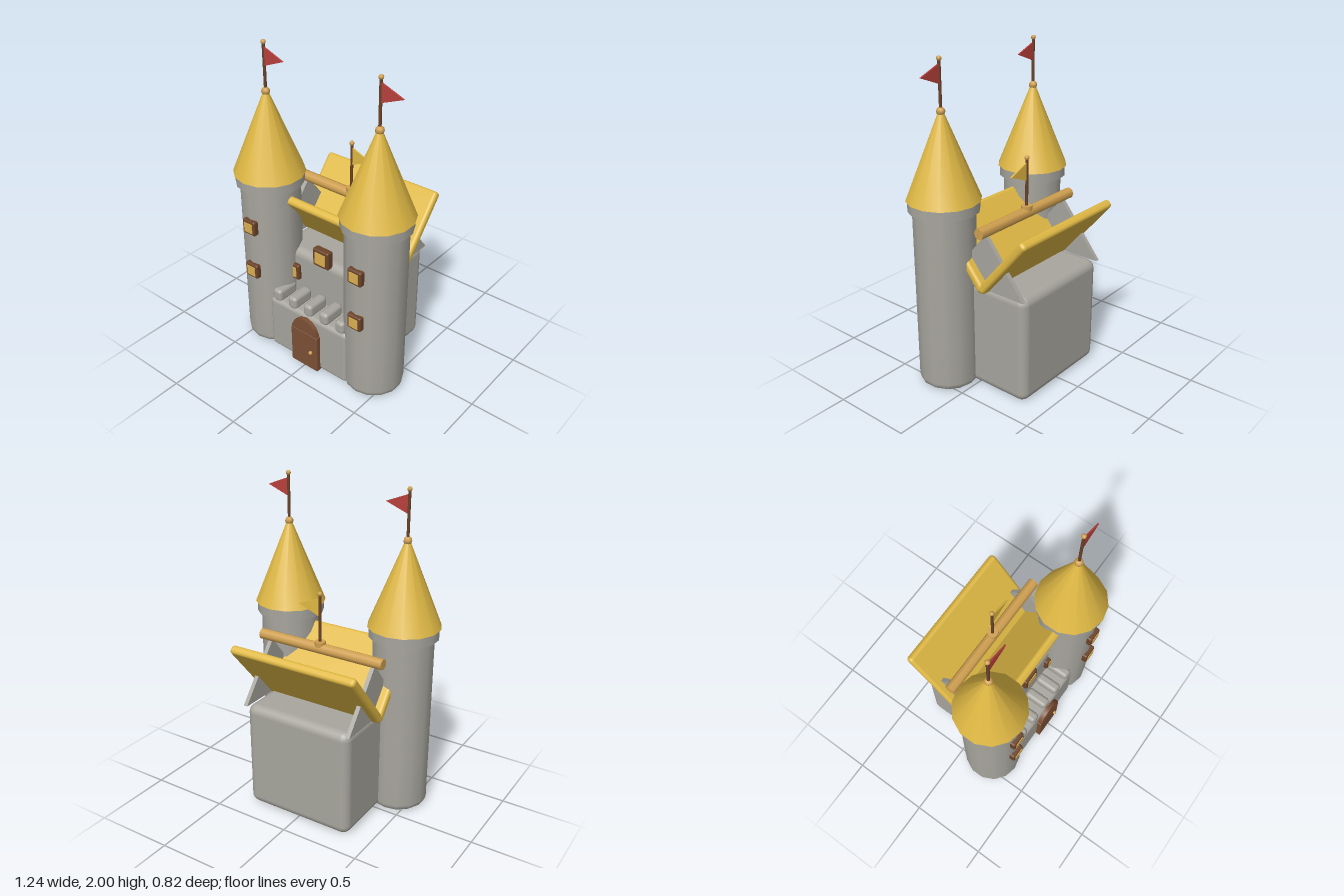
import * as THREE from 'three';
import { RoundedBoxGeometry } from 'three/addons/geometries/RoundedBoxGeometry.js';

const mat = (name, color) => {
  const m = new THREE.MeshStandardMaterial({ color });
  m.name = name;
  return m;
};

export function createModel() {
  const stone = mat('stone', 0xa7a59d);
  const roofGold = mat('roof gold', 0xdfb844);
  const trim = mat('brass trim', 0xd0a050);
  const pane = mat('window glow', 0xdcb052);
  const doorWood = mat('door wood', 0x7c5035);
  const darkWood = mat('dark wood', 0x6b4329);
  const red = mat('red cloth', 0xb8403c);

  const model = new THREE.Group();
  model.name = 'castle';

  function add(parent, name, geo, material, x = 0, y = 0, z = 0) {
    const mesh = new THREE.Mesh(geo, material);
    mesh.name = name;
    mesh.position.set(x, y, z);
    parent.add(mesh);
    return mesh;
  }
  const box = (w, h, d, r) => new RoundedBoxGeometry(w, h, d, 3, r);
  const ball = (r) => new THREE.SphereGeometry(r, 8, 6);

  // flat triangular plate in the xy plane, centred on z
  function triangle(points, depth) {
    const shape = new THREE.Shape(points.map(([x, y]) => new THREE.Vector2(x, y)));
    const geo = new THREE.ExtrudeGeometry(shape, { depth, bevelEnabled: false });
    return geo.translate(0, 0, -depth / 2);
  }

  // pole with finial and pennant, standing on y
  function flag(parent, cloth, x, y, z, height) {
    const g = new THREE.Group();
    g.name = 'flag';
    g.position.set(x, y, z);
    parent.add(g);
    add(g, 'pole', new THREE.CylinderGeometry(0.009, 0.009, height, 8), darkWood, 0, height / 2, 0);
    add(g, 'finial', ball(0.015), trim, 0, height, 0);
    const top = height - 0.028;
    add(g, 'pennant', triangle([[0.005, top], [0.005, top - 0.11], [0.145, top - 0.055]], 0.009), cloth);
  }

  // framed window whose wall is at z
  function windowAt(parent, x, y, z, size) {
    const g = new THREE.Group();
    g.name = 'window';
    g.position.set(x, y, z);
    parent.add(g);
    add(g, 'windowFrame', box(size, size, 0.05, 0.012), darkWood);
    add(g, 'windowPane', new THREE.BoxGeometry(size * 0.65, size * 0.65, 0.008), pane, 0, 0, 0.025);
  }

  // main hall
  add(model, 'hall', box(0.72, 0.69, 0.55, 0.055), stone, 0, 0.345, -0.09);

  // gable ends and the two leaning roof panels
  for (const side of [-1, 1]) {
    const gable = add(model, 'gable',
      triangle([[-0.277, 0.68], [0.277, 0.68], [0, 1.025]], 0.026), stone, side * 0.36, 0, -0.09);
    gable.rotation.y = Math.PI / 2;

    const panel = add(model, 'roofPanel', box(0.85, 0.055, 0.5, 0.022), roofGold, 0, 0.872, -0.09 + side * 0.152);
    panel.rotation.x = -side * 0.875;
  }

  // ridge beam and its flag
  const beam = add(model, 'ridgeBeam', new THREE.CylinderGeometry(0.034, 0.034, 0.85, 8), trim, 0, 1.045, -0.09);
  beam.rotation.z = Math.PI / 2;
  add(model, 'flagBase', new THREE.CylinderGeometry(0.034, 0.034, 0.03, 8), trim, 0, 1.075, -0.09);
  flag(model, roofGold, 0, 1.08, -0.09, 0.304);

  // round towers
  const towerProfile = [[0, 0], [0.14, 0], [0.162, 0.005], [0.178, 0.018], [0.185, 0.045], [0.185, 0.3], [0.185, 1.15]]
    .map(([x, y]) => new THREE.Vector2(x, y));
  for (const side of [-1, 1]) {
    const tower = new THREE.Group();
    tower.name = side > 0 ? 'leftTower' : 'rightTower';
    tower.position.set(side * 0.405, 0, 0.19);
    model.add(tower);
    add(tower, 'towerWall', new THREE.LatheGeometry(towerProfile, 14), stone);
    add(tower, 'towerCollar', new THREE.CylinderGeometry(0.21, 0.21, 0.07, 14), stone, 0, 1.155, 0);
    add(tower, 'towerRoof', new THREE.CylinderGeometry(0.014, 0.22, 0.51, 14), roofGold, 0, 1.44, 0);
    add(tower, 'roofBall', ball(0.026), trim, 0, 1.695, 0);
    flag(tower, red, 0, 1.7, 0, 0.285);
    for (const y of [0.56, 0.875]) windowAt(tower, 0, y, 0.182, 0.098);
  }

  // hall windows
  windowAt(model, 0, 0.72, 0.185, 0.122);
  for (const side of [-1, 1]) windowAt(model, side * 0.235, 0.533, 0.185, 0.11);

  // gatehouse with battlements
  add(model, 'gatehouse', box(0.62, 0.375, 0.27, 0.03), stone, 0, 0.1875, 0.21);
  for (let i = -2; i <= 2; i++) {
    add(model, 'merlon', box(0.068, 0.085, 0.16, 0.024), stone, i * 0.125, 0.407, 0.264);
  }

  // arched door and knob
  add(model, 'door', box(0.21, 0.265, 0.05, 0.006), doorWood, 0, 0.1325, 0.35);
  const arch = add(model, 'doorArch',
    new THREE.CylinderGeometry(0.1, 0.1, 0.045, 14), doorWood, 0, 0.26, 0.35);
  arch.rotation.x = Math.PI / 2;
  add(model, 'doorKnob', ball(0.013), trim, 0.058, 0.135, 0.382);

  return model;
}
